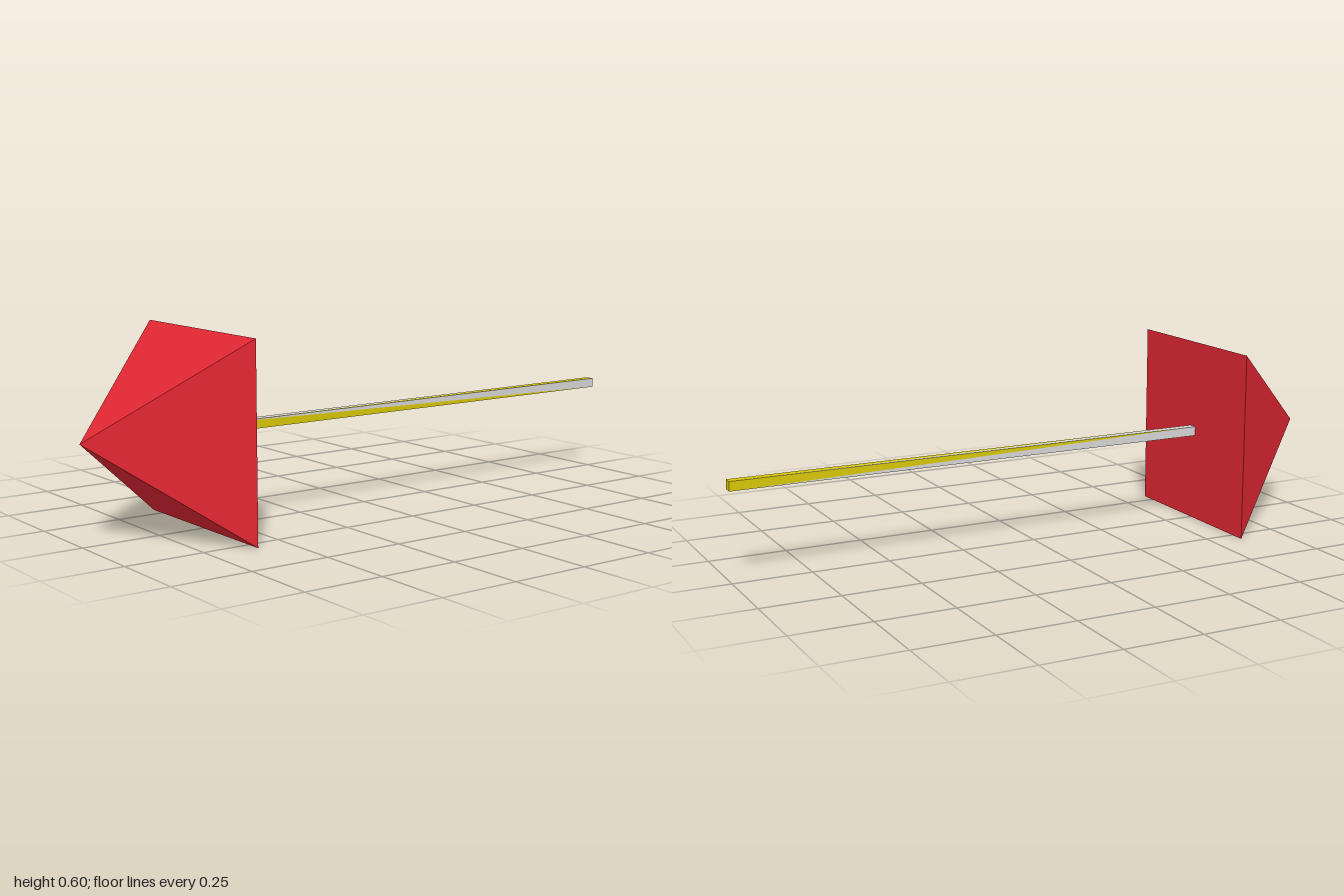
import * as THREE from 'three';

const red = new THREE.MeshStandardMaterial({ color: 0xe02632 });
const yellow = new THREE.MeshStandardMaterial({ color: 0xd9c808 });
const grey = new THREE.MeshStandardMaterial({ color: 0xd6d6d6 });
red.name = 'red';
yellow.name = 'yellow';
grey.name = 'light grey';

const CENTRE_Y = 0.3, HALF = 0.015, FRONT = 0.6, BACK = -1;

function addMesh(group, name, geometry, material) {
  const mesh = new THREE.Mesh(geometry, material);
  mesh.name = name;
  mesh.position.y = CENTRE_Y;
  group.add(mesh);
  return mesh;
}

function flatTriangles(points) {
  const geometry = new THREE.BufferGeometry().setFromPoints(points);
  geometry.computeVertexNormals();
  return geometry;
}

export function createModel() {
  const model = new THREE.Group();
  model.name = 'arrow';

  // Square pyramid head, pointing forward
  const head = new THREE.ConeGeometry(0.3 * Math.SQRT2, 0.4, 4).toNonIndexed();
  head.rotateY(Math.PI / 4).rotateX(Math.PI / 2);
  head.computeVertexNormals();
  addMesh(model, 'arrowHead', head, red).position.z = 0.8;

  // Square shaft: each long side is split along its diagonal into two colours
  const yellowPoints = [], greyPoints = [];
  const forward = new THREE.Vector3(0, 0, 1);
  for (let i = 0; i < 4; i++) {
    const angle = i * Math.PI / 2;
    const out = new THREE.Vector3(Math.cos(angle), Math.sin(angle), 0);
    const side = forward.clone().cross(out);
    const corner = (s, z) =>
      out.clone().addScaledVector(side, s).multiplyScalar(HALF).setZ(z);
    const fl = corner(-1, FRONT), fr = corner(1, FRONT);
    const bl = corner(-1, BACK), br = corner(1, BACK);
    if (i === 0) {
      // left side: yellow in front, grey behind
      yellowPoints.push(fl, bl, fr);
      greyPoints.push(bl, br, fr);
    } else {
      yellowPoints.push(fl, bl, br);
      greyPoints.push(fl, br, fr);
    }
  }
  addMesh(model, 'shaftYellow', flatTriangles(yellowPoints), yellow);
  addMesh(model, 'shaftGrey', flatTriangles(greyPoints), grey);

  // Rear end of the shaft
  const cap = new THREE.PlaneGeometry(2 * HALF, 2 * HALF).rotateY(Math.PI);
  addMesh(model, 'shaftEnd', cap, yellow).position.z = BACK;

  return model;
}
